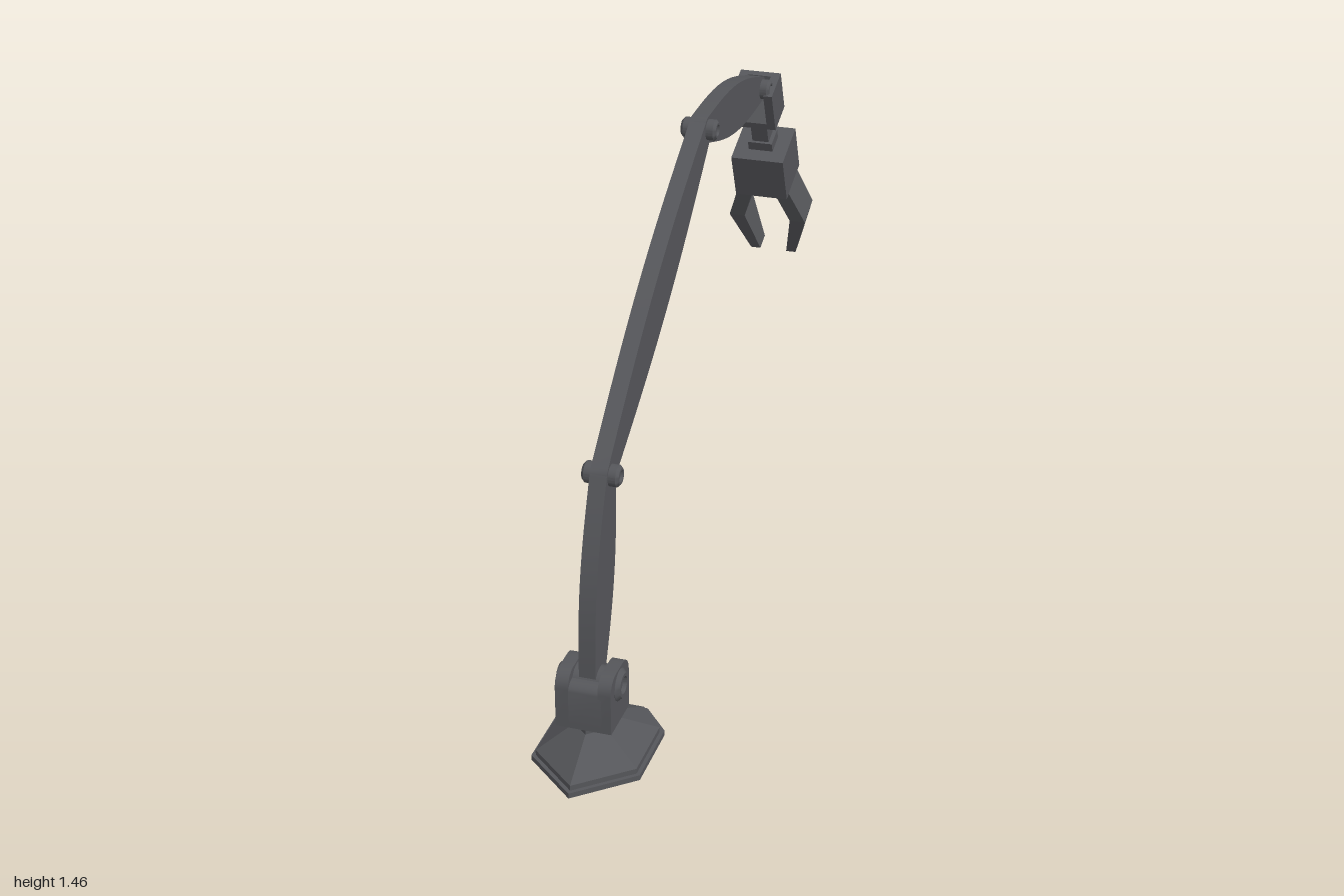
import * as THREE from 'three';
import { toCreasedNormals } from 'three/addons/utils/BufferGeometryUtils.js';

const material = new THREE.MeshStandardMaterial({ color: 0x55565a });

function add(parent, name, geometry, x = 0, y = 0, z = 0) {
  const mesh = new THREE.Mesh(geometry, material);
  mesh.name = name;
  mesh.position.set(x, y, z);
  parent.add(mesh);
  return mesh;
}

// Extrudes a side profile of [z, y] points across x, centred on x = 0
function sideExtrude(points, width) {
  const shape = new THREE.Shape(points.map(([z, y]) => new THREE.Vector2(z, y)));
  const geo = new THREE.ExtrudeGeometry(shape, { depth: width, bevelEnabled: false });
  geo.translate(0, 0, -width / 2).rotateY(-Math.PI / 2);
  return toCreasedNormals(geo, 0.5);
}

// Skins a stack of matching rings (counter-clockwise seen from the last ring) and caps both ends
function loft(rings) {
  const n = rings[0].length, pos = [];
  const tri = (...corners) => corners.forEach((c) => pos.push(...c));
  for (let r = 0; r < rings.length - 1; r++) {
    for (let i = 0; i < n; i++) {
      const j = (i + 1) % n, a = rings[r], b = rings[r + 1];
      tri(a[i], a[j], b[j]);
      tri(a[i], b[j], b[i]);
    }
  }
  const first = rings[0], last = rings[rings.length - 1];
  for (let i = 1; i < n - 1; i++) {
    tri(first[0], first[i + 1], first[i]);
    tri(last[0], last[i], last[i + 1]);
  }
  const geo = new THREE.BufferGeometry();
  geo.setAttribute('position', new THREE.Float32BufferAttribute(pos, 3));
  geo.computeVertexNormals();
  return geo;
}

// Chamfered pin along x with a shallow recess in each end
function pin(radius, half) {
  const c = radius * 0.25;
  const profile = [
    [0, -half + c], [radius * 0.5, -half + c], [radius * 0.55, -half], [radius - c, -half],
    [radius, -half + c], [radius, half - c], [radius - c, half], [radius * 0.55, half],
    [radius * 0.5, half - c], [0, half - c],
  ].map(([r, h]) => new THREE.Vector2(r, h));
  return toCreasedNormals(new THREE.LatheGeometry(profile, 24).rotateZ(-Math.PI / 2), 0.5);
}

// Leaf-shaped link between two joints [z, y]
function link(a, b, endRadius, midRadius) {
  const dz = b[0] - a[0], dy = b[1] - a[1], len = Math.hypot(dz, dy);
  const uz = dz / len, uy = dy / len, points = [];
  const place = (along, across) =>
    points.push([a[0] + uz * along - uy * across, a[1] + uy * along + uz * across]);
  const half = (t) => endRadius + (midRadius - endRadius) * Math.sin(Math.PI * t);
  for (let i = 0; i <= 20; i++) place((len * i) / 20, -half(i / 20));
  for (let i = 1; i < 8; i++) {
    const t = -Math.PI / 2 + (Math.PI * i) / 8;
    place(len + endRadius * Math.cos(t), endRadius * Math.sin(t));
  }
  for (let i = 20; i >= 0; i--) place((len * i) / 20, half(i / 20));
  for (let i = 1; i < 8; i++) {
    const t = Math.PI / 2 + (Math.PI * i) / 8;
    place(endRadius * Math.cos(t), endRadius * Math.sin(t));
  }
  return sideExtrude(points, 0.046);
}

// Block profile with rounded upper corners
function roundedTop(z, halfWidth, bottom, top, radius) {
  const points = [[z - halfWidth, bottom], [z + halfWidth, bottom]];
  for (const [side, start] of [[1, 0], [-1, Math.PI / 2]]) {
    for (let i = 0; i <= 6; i++) {
      const t = start + (Math.PI / 2) * (i / 6);
      points.push([z + side * (halfWidth - radius) + radius * Math.cos(t), top - radius + radius * Math.sin(t)]);
    }
  }
  return points;
}

export function createModel() {
  const model = new THREE.Group();
  model.name = 'roboticArm';

  // Seven-sided pedestal
  const outline = [[0, 0.21], [0.15, 0.08], [0.15, -0.13], [0.075, -0.215],
    [-0.075, -0.215], [-0.15, -0.13], [-0.15, 0.08]];
  const ring = (scale, y) => outline.map(([x, z]) => [x * scale, y, 0.785 + 0.015 * (1 - scale) + z * scale]);
  add(model, 'basePlate', loft([ring(1, 0), ring(1, 0.015)]));
  add(model, 'basePedestal', loft([ring(0.93, 0.015), ring(0.93, 0.03), ring(0.3, 0.107), ring(0.3, 0.135)]));

  // Shoulder fork
  const shoulder = [0.8, 0.24];
  add(model, 'shoulderBlock', sideExtrude(roundedTop(0.8, 0.073, 0.13, 0.262, 0.03), 0.1));
  for (const side of [-1, 1]) {
    add(model, 'shoulderEar', sideExtrude(roundedTop(0.8, 0.073, 0.13, 0.29, 0.045), 0.036), side * 0.058);
  }
  add(model, 'shoulderPin', pin(0.044, 0.088), 0, shoulder[1], shoulder[0]);

  // Links and joint pins
  const elbow = [0.69, 0.79], upperElbow = [-0.15, 1.42], wrist = [-0.695, 1.355];
  add(model, 'lowerLink', link(shoulder, elbow, 0.036, 0.07));
  add(model, 'middleLink', link(elbow, upperElbow, 0.036, 0.072));
  add(model, 'upperLink', link(upperElbow, wrist, 0.037, 0.07));
  for (const [z, y] of [elbow, upperElbow, wrist]) add(model, 'jointPin', pin(0.029, 0.05), 0, y, z);

  // Hand, built pointing down and then tilted
  const hand = new THREE.Group();
  hand.name = 'hand';
  hand.position.set(0, 1.305, -0.738);
  hand.rotation.x = 0.395;
  model.add(hand);

  // Wrist fork: side cheeks and a notched core
  for (const side of [-1, 1]) add(hand, 'wristCheek', new THREE.BoxGeometry(0.026, 0.13, 0.106), side * 0.048);
  add(hand, 'wristCore', sideExtrude(
    [[-0.053, -0.065], [0.053, -0.065], [0.053, -0.045], [-0.02, 0.01], [-0.035, 0.065], [-0.053, 0.065]], 0.075));
  add(hand, 'wristNeck', new THREE.BoxGeometry(0.05, 0.11, 0.05), 0, -0.118, 0);
  add(hand, 'wristCollar', new THREE.BoxGeometry(0.074, 0.03, 0.066), 0, -0.158, 0);
  add(hand, 'wristCollar', new THREE.BoxGeometry(0.066, 0.018, 0.06), 0, -0.073, 0);
  add(hand, 'palm', new THREE.BoxGeometry(0.16, 0.15, 0.155), 0, -0.247, 0);

  // Bent fingers: [y, inner x, outer x, half depth], from tip to root
  const sections = [[-0.598, 0.042, 0.072, 0.028], [-0.44, 0.072, 0.12, 0.05], [-0.32, 0.032, 0.08, 0.054]];
  for (const side of [-1, 1]) {
    const rings = sections.map(([y, inner, outer, d]) => {
      const [left, right] = side > 0 ? [inner, outer] : [-outer, -inner];
      return [[left, y, d], [right, y, d], [right, y, -d], [left, y, -d]];
    });
    add(hand, 'finger', loft(rings));
  }

  return model;
}
